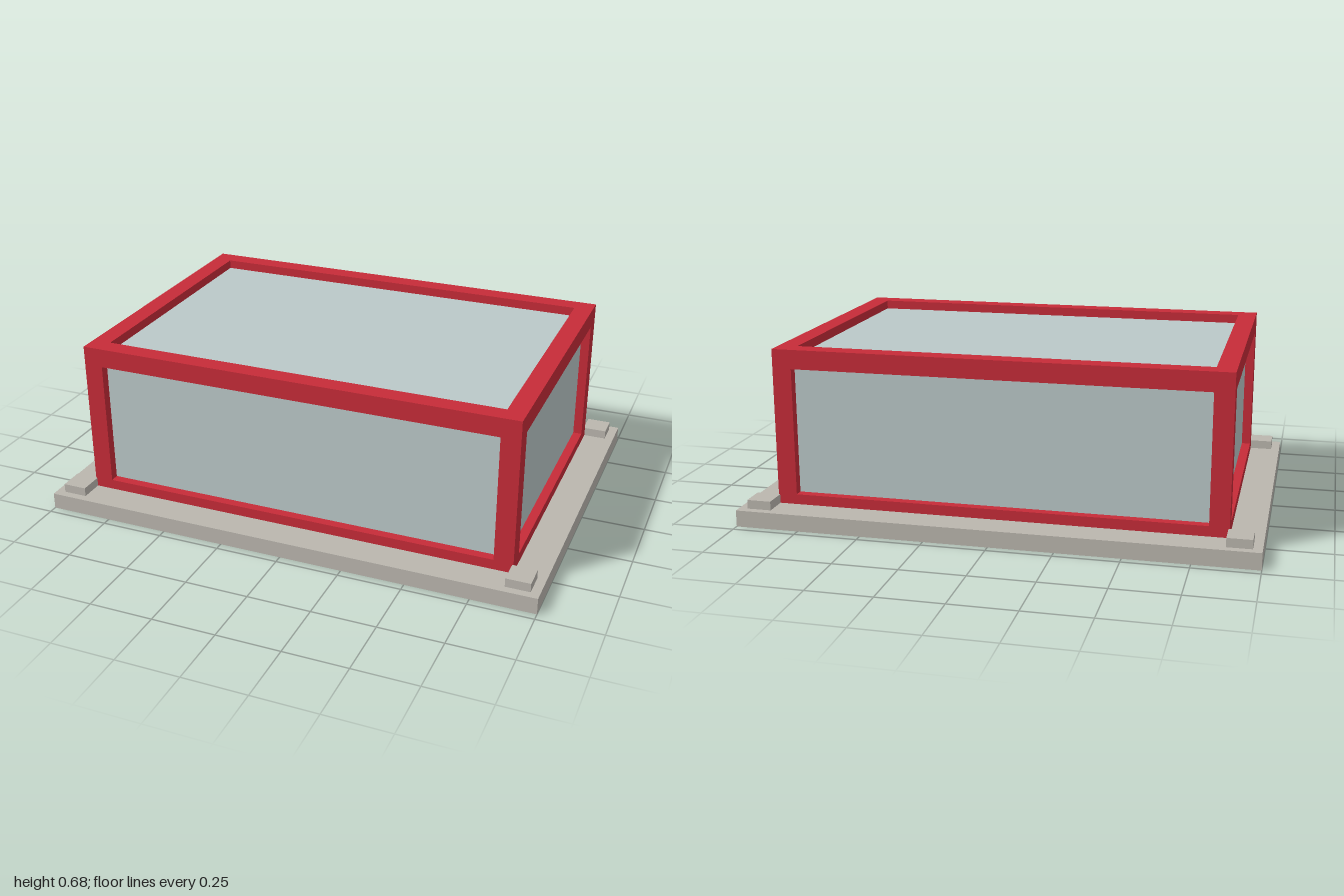
import * as THREE from 'three';

export function createModel() {
  const group = new THREE.Group();
  const mat = (name, color) => {
    const m = new THREE.MeshStandardMaterial({ color });
    m.name = name;
    return m;
  };
  const stone = mat('warm grey stone', 0xbab6ae);
  const red = mat('red frame', 0xc62b38);
  const glass = mat('pale glass', 0xbac8c8);

  // Box given by its min and max corners
  const box = (name, material, [x0, y0, z0], [x1, y1, z1]) => {
    const mesh = new THREE.Mesh(new THREE.BoxGeometry(x1 - x0, y1 - y0, z1 - z0), material);
    mesh.position.set((x0 + x1) / 2, (y0 + y1) / 2, (z0 + z1) / 2);
    mesh.name = name;
    group.add(mesh);
    return mesh;
  };

  const X = 0.875, Z = 0.593;          // outer half sizes of the frame
  const xi = 0.8, zi = 0.52;           // half sizes of the openings
  const floor = 0.065, sill = 0.105, lintel = 0.605, roof = 0.68;
  const inset = 0.036;                 // depth of the panels behind the frame

  // Base slab
  box('baseSlab', stone, [-1, 0, -0.718], [1, floor, 0.718]);

  // Corner posts and corner blocks
  for (const sx of [-1, 1]) {
    for (const sz of [-1, 1]) {
      const post = box('cornerPost', red, [xi, floor, zi], [X, roof, Z]);
      const block = box('cornerBlock', stone, [0.87, floor, 0.592], [0.965, 0.1, 0.687]);
      for (const m of [post, block]) {
        m.position.x *= sx;
        m.position.z *= sz;
      }
    }
  }

  // Bottom and top rails between the posts
  for (const [y0, y1, name] of [[floor, sill, 'bottomRail'], [lintel, roof, 'topRail']]) {
    for (const s of [-1, 1]) {
      box(name, red, [-xi, y0, zi], [xi, y1, Z]).position.z *= s;
      box(name, red, [xi, y0, -zi], [X, y1, zi]).position.x *= s;
    }
  }

  // Recessed panels on four sides and the roof
  const t = 0.01;
  for (const s of [-1, 1]) {
    box('longPanel', glass, [-xi, sill, Z - inset - t], [xi, lintel, Z - inset]).position.z *= s;
    box('shortPanel', glass, [X - inset - t, sill, -zi], [X - inset, lintel, zi]).position.x *= s;
  }
  box('roofPanel', glass, [-xi, roof - inset - t, -zi], [xi, roof - inset, zi]);

  return group;
}
